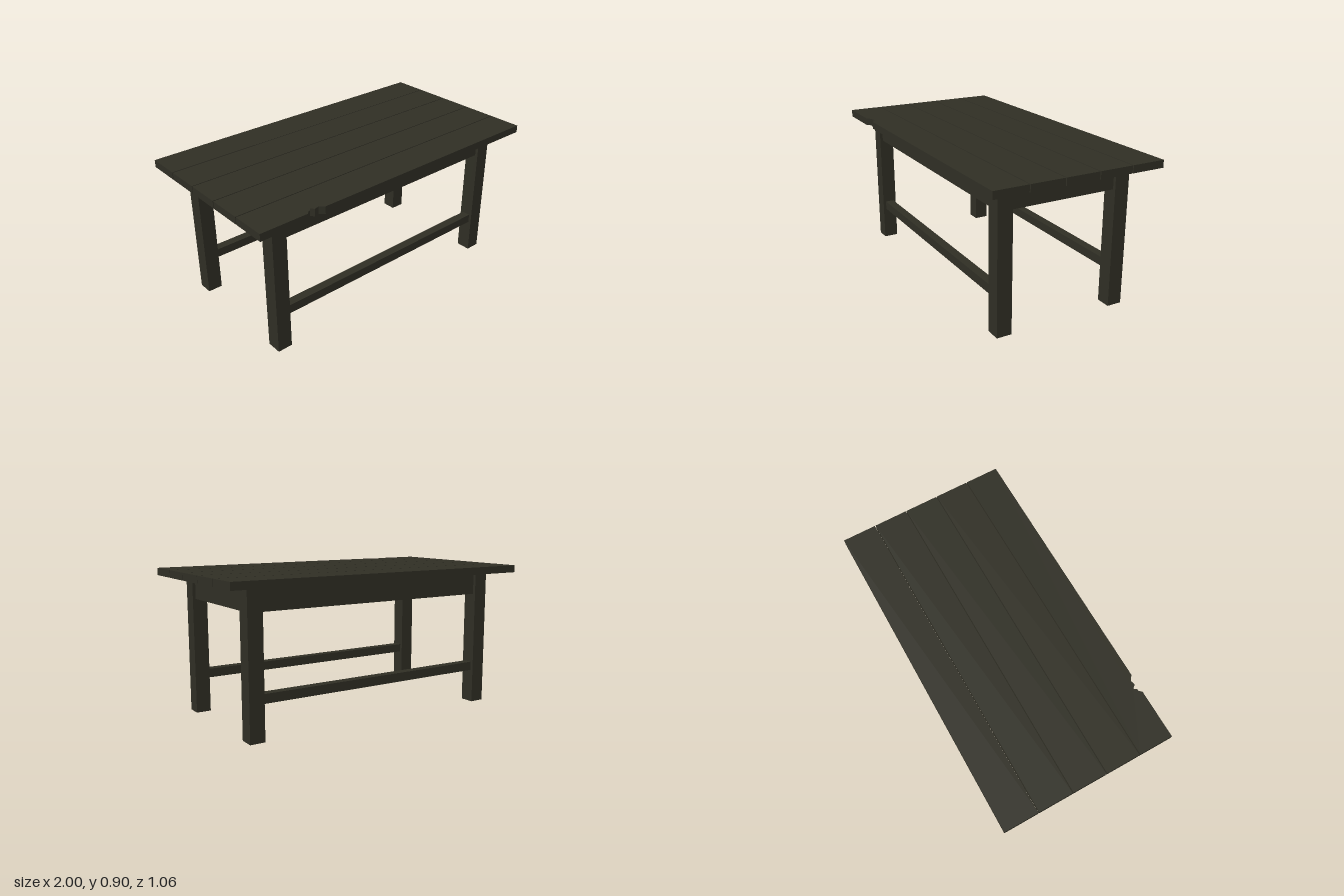
import * as THREE from 'three';

const wood = new THREE.MeshStandardMaterial({ color: 0x2f2e24 });
wood.name = 'dark wood';

export function createModel() {
  const table = new THREE.Group();
  table.name = 'table';

  const box = (name, w, h, d, x, y, z) => {
    const mesh = new THREE.Mesh(new THREE.BoxGeometry(w, h, d), wood);
    mesh.name = name;
    mesh.position.set(x, y, z);
    table.add(mesh);
  };

  const topY = 0.898, underY = 0.853, thick = topY - underY;
  const plank = 0.208, pitch = 0.2135;
  const legX = 0.811, legZ = 0.374, leg = 0.092, rail = 0.055;

  // Whole planks of the table top
  for (let i = -2; i < 2; i++) {
    box('topPlank', 2, thick, plank, 0, (topY + underY) / 2, i * pitch);
  }

  // Front plank with a chipped edge
  const front = 2 * pitch + plank / 2, back = 2 * pitch - plank / 2;
  const outline = [
    [-1, front], [-0.705, front], [-0.688, 0.513], [-0.678, 0.513],
    [-0.664, 0.495], [-0.648, 0.516], [-0.618, 0.508], [-0.59, front],
    [1, front], [1, back], [-1, back],
  ].map(([x, z]) => new THREE.Vector2(x, -z));
  const chipped = new THREE.ExtrudeGeometry(new THREE.Shape(outline), { depth: thick, bevelEnabled: false });
  chipped.rotateX(-Math.PI / 2);
  const chippedPlank = new THREE.Mesh(chipped, wood);
  chippedPlank.name = 'chippedPlank';
  chippedPlank.position.y = underY;
  table.add(chippedPlank);

  // Legs, aprons and low rails, mirrored
  const apronY = 0.715, apronH = underY - apronY;
  for (const s of [-1, 1]) {
    for (const t of [-1, 1]) box('leg', leg, underY, leg, s * legX, underY / 2, t * legZ);
    box('sideApron', rail, apronH, 2 * legZ - leg, s * legX, apronY + apronH / 2, 0);
    box('longApron', 2 * legX - leg, apronH, rail, 0, apronY + apronH / 2, s * legZ);
    box('longRail', 2 * legX - leg, rail, rail, 0, 0.238, s * legZ);
  }

  return table;
}
